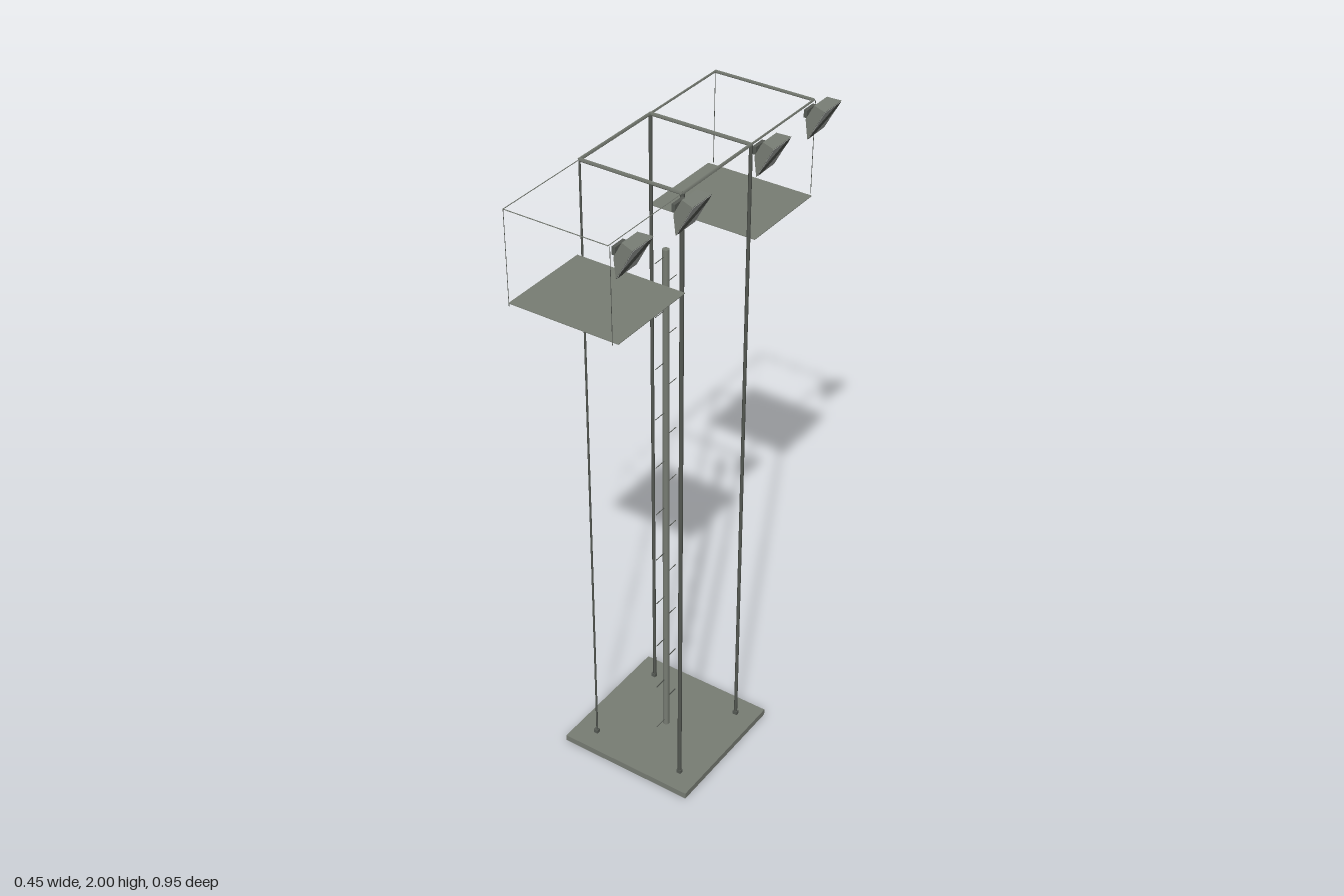
import * as THREE from 'three';

export function createModel() {
  const root = new THREE.Group();
  const mat = (name, color, side = THREE.FrontSide) => {
    const m = new THREE.MeshStandardMaterial({ color, side });
    m.name = name;
    return m;
  };
  const steel = mat('grey steel', 0x787d74, THREE.DoubleSide);
  const dark = mat('dark steel', 0x565a54);
  const glass = mat('lamp glass', 0xa4a7a4);

  const add = (name, geo, material, parent = root) => {
    const m = new THREE.Mesh(geo, material);
    m.name = name;
    parent.add(m);
    return m;
  };
  // Straight bar between two points
  const bar = (name, a, b, t, material = steel, sides = 4, parent = root) => {
    const p = new THREE.Vector3(...a), q = new THREE.Vector3(...b);
    const m = add(name, new THREE.CylinderGeometry(t, t, p.distanceTo(q), sides), material, parent);
    m.position.copy(p).add(q).multiplyScalar(0.5);
    m.quaternion.setFromUnitVectors(new THREE.Vector3(0, 1, 0), q.sub(p).normalize());
    return m;
  };

  // Base plate and central mast
  add('basePlate', new THREE.BoxGeometry(0.44, 0.02, 0.44), steel).position.set(-0.01, 0.01, 0);
  bar('mast', [-0.01, 0, 0], [-0.01, 1.7, 0], 0.01, steel, 10);

  // Step pegs on alternating sides of the mast
  for (let i = 0; i < 21; i++) {
    const s = i % 2 ? -1 : 1, y = 0.04 + i * 0.082;
    bar('stepPeg', [-0.01, y, 0], [-0.01, y, s * 0.05], 0.0015, dark);
  }

  // Corner posts with small feet
  const xl = 0.145, xr = -0.165, top = 1.98, zi = 0.155, zo = 0.463;
  for (const [x, z, t] of [[xl, zi, 0.006], [xl, -zi, 0.005], [xr, -zi, 0.005], [xr, zi, 0.003]]) {
    bar('cornerPost', [x < 0 ? -0.16 : x, 0.02, z], [x, top, z], t, dark, 6);
    add('postFoot', new THREE.BoxGeometry(0.014, 0.012, 0.012), dark).position.set(x < 0 ? -0.162 : x, 0.026, z);
  }

  // Upper rail frame
  for (const z of [zi, -zi]) bar('crossRail', [xr, top, z], [xl, top, z], 0.006);
  for (const x of [xl, xr]) {
    bar('sideRail', [x, top, -zi], [x, top, zi], 0.006);
    bar('rearSideRail', [x, top, -zo], [x, top, -zi], 0.004);
    bar('frontSideRail', [x, top, zi], [x, top, zo], 0.0015);
  }
  bar('rearCrossRail', [xr, top, -zo], [xl, top, -zo], 0.005);
  bar('frontCrossRail', [xr, top, zo], [xl, top, zo], 0.0015);

  // Thin platforms with fine outer hangers
  for (const s of [-1, 1]) {
    add('platform', new THREE.BoxGeometry(0.335, 0.002, 0.287), steel).position.set(-0.0075, 1.706, s * 0.306);
    for (const x of [0.15, xr]) bar('platformHanger', [x, 1.706, s * 0.46], [x, top, s * zo], 0.001, dark);
  }

  // Floodlight: tapered housing, glass, diagonal band and bracket; local +z is the beam
  const makeLamp = () => {
    const lamp = new THREE.Group();
    lamp.name = 'floodlight';
    const housing = new THREE.BoxGeometry(0.085, 0.104, 0.036);
    const p = housing.attributes.position;
    for (let i = 0; i < p.count; i++) {
      if (p.getZ(i) < 0) p.setXYZ(i, p.getX(i) * 0.75, p.getY(i) * 0.5 + 0.012, p.getZ(i));
    }
    housing.computeVertexNormals();
    add('housing', housing, steel, lamp).position.z = -0.018;
    add('lampGlass', new THREE.BoxGeometry(0.08, 0.099, 0.001), glass, lamp).position.z = 0.0005;
    const band = new THREE.Shape([
      [-0.04, -0.049], [-0.018, -0.049], [0.04, 0.025], [0.04, 0.049], [0.018, 0.049], [-0.04, -0.025],
    ].map(([x, y]) => new THREE.Vector2(x, y)));
    add('diagonalBand', new THREE.ShapeGeometry(band), dark, lamp).position.z = 0.0016;
    lamp.rotation.order = 'YXZ';
    lamp.rotation.set(0.49, Math.PI / 2, 0);
    return lamp;
  };
  for (const z of [-0.432, -0.182, 0.182, 0.43]) {
    const lamp = makeLamp();
    lamp.position.set(0.197, 1.949, z);
    root.add(lamp);
    // Bracket arm and clamp on the rail
    bar('bracketArm', [0.148, 1.965, z], [0.18, 1.958, z], 0.007, dark);
    add('railClamp', new THREE.BoxGeometry(0.01, 0.022, 0.045), dark).position.set(0.152, 1.963, z);
  }
  return root;
}
